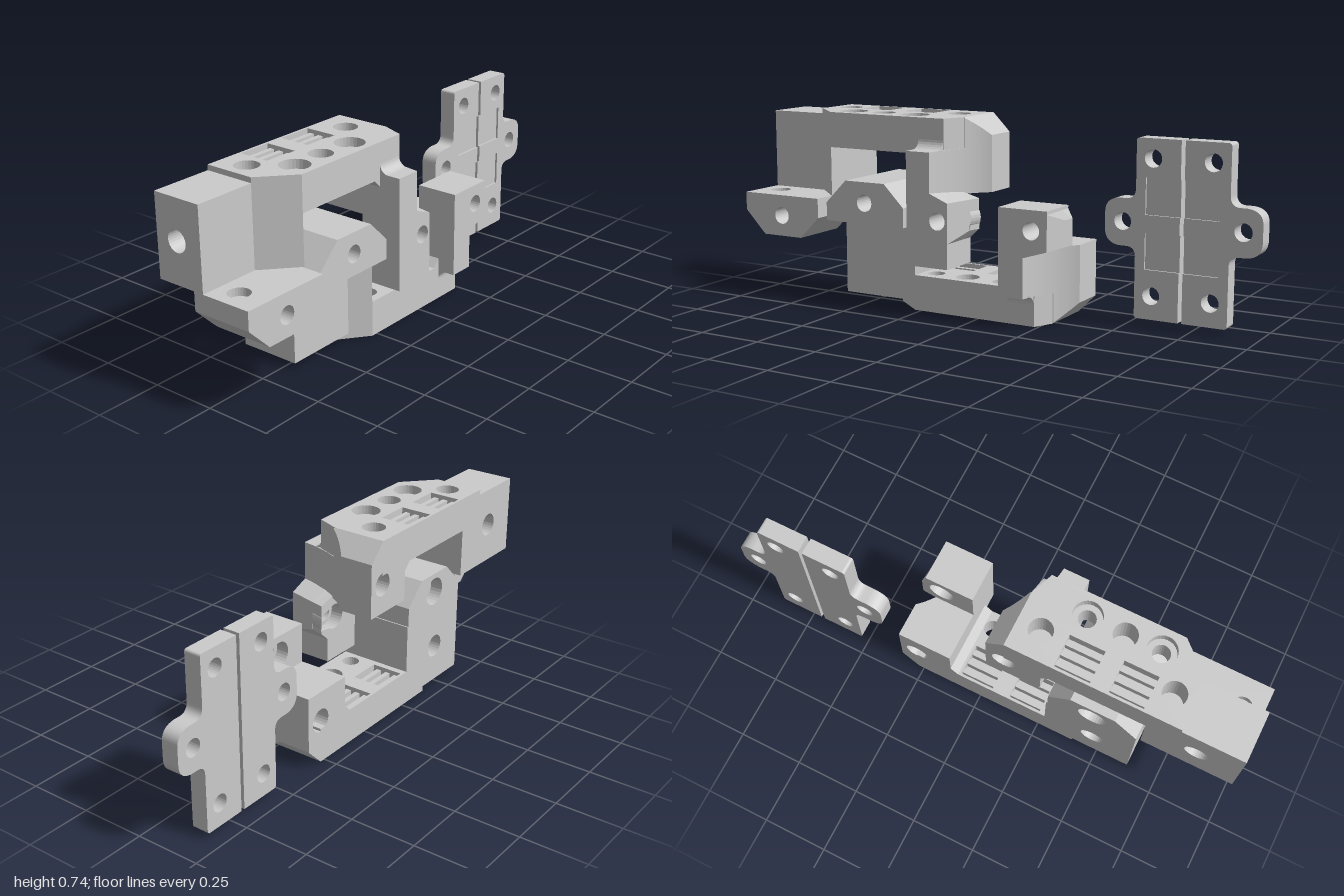
import * as THREE from 'three';

const mat = new THREE.MeshStandardMaterial({ color: 0xcccccc, flatShading: true, side: THREE.DoubleSide });

// Shape from points, with round holes [x, y, radius] and polygon slots
function shapeOf(pts, holes = [], slots = []) {
  const s = new THREE.Shape(pts.map(p => new THREE.Vector2(...p)));
  for (const [x, y, r] of holes) s.holes.push(new THREE.Path().absarc(x, y, r, 0, Math.PI * 2, true));
  for (const q of slots) s.holes.push(new THREE.Path(q.map(p => new THREE.Vector2(...p))));
  return s;
}
const extrude = (shape, depth) => new THREE.ExtrudeGeometry(shape, { depth, bevelEnabled: false, curveSegments: 14 });

// Prism along z from an (x, y) outline
const alongZ = (pts, z0, z1, holes, slots) => extrude(shapeOf(pts, holes, slots), z1 - z0).translate(0, 0, z0);

// Prism along y from an (x, z) plan
function alongY(pts, y0, y1, holes = [], slots = []) {
  const n = list => list.map(([x, z, ...r]) => [x, -z, ...r]);
  return extrude(shapeOf(n(pts), n(holes), slots.map(n)), y1 - y0).rotateX(-Math.PI / 2).translate(0, y0, 0);
}

// Prism along x from a (z, y) outline
const alongX = (pts, x0, x1, holes) =>
  extrude(shapeOf(pts, holes), x1 - x0).rotateY(-Math.PI / 2).translate(x1, 0, 0);

const rect = (a, b, c, d) => [[a, b], [c, b], [c, d], [a, d]];

function moveVertices(geo, rule) {
  const p = geo.attributes.position, v = new THREE.Vector3();
  for (let i = 0; i < p.count; i++) {
    rule(v.fromBufferAttribute(p, i));
    p.setXYZ(i, v.x, v.y, v.z);
  }
  return geo;
}

// Turn a part upside down, keeping its faces outward
function flipOver(geo) {
  const p = geo.attributes.position, a = new THREE.Vector3(), b = new THREE.Vector3();
  moveVertices(geo, v => { v.y = 0.735 - v.y; });
  for (let i = 0; i < p.count; i += 3) {
    a.fromBufferAttribute(p, i + 1);
    b.fromBufferAttribute(p, i + 2);
    p.setXYZ(i + 1, b.x, b.y, b.z);
    p.setXYZ(i + 2, a.x, a.y, a.z);
  }
}

// Bracket: bar with an end block and foot on one side, a curved leg on the other
function bracket(name, { flipped, shift, front, barFront, blockFront, footBack, hexPocket, legEnd, legBack, legEdge }) {
  const group = new THREE.Group();
  group.name = name;
  const back = -0.195;
  const add = (partName, geo) => {
    if (flipped) flipOver(geo);
    geo.translate(shift, 0, 0);
    geo.computeVertexNormals();
    const m = new THREE.Mesh(geo, mat);
    m.name = partName;
    group.add(m);
  };

  // Bar in two layers: counterbores outside, narrower screw holes inside
  const slotX = [[-0.62, -0.49], [-0.42, -0.285]];
  const slots = slotX.map(([a, b]) => rect(a, -0.185, b, -0.06));
  const barPlan = [[-0.765, back], [-0.765, 0], [-0.645, barFront], [-0.135, barFront], [-0.1, 0.02], [-0.1, back]];
  for (const [part, y0, y1, wide] of [['barInner', 0.6, 0.7, 0.033], ['barOuter', 0.7, 0.735, 0.055]])
    add(part, alongY(barPlan, y0, y1, [
      [-0.69, -0.09, 0.045], [-0.19, -0.09, 0.045], [-0.455, 0.025, 0.045],
      [-0.59, 0.03, wide], [-0.31, 0.03, wide]], slots));

  // Ribbed slot inserts, open on both faces of the bar
  for (const [a, b] of slotX) {
    add('slotFloor', alongY(rect(a, -0.185, b, -0.06), 0.65, 0.69));
    for (const z of [-0.165, -0.125, -0.085]) add('slotRib', alongY(rect(a, z - 0.01, b, z + 0.01), 0.615, 0.72));
  }

  // End block with blind holes in its side and back
  const blockCorner = -0.765 + 0.12 * blockFront / barFront;
  add('blockSide', alongX(rect(back, 0.41, blockFront, 0.715), -1, -0.93, [[-0.105, 0.565, 0.04]]));
  add('blockBack', alongZ([[-0.93, 0.41], [-0.645, 0.41], [-0.645, 0.6], [-0.765, 0.6], [-0.765, 0.715], [-0.93, 0.715]],
    back, -0.1, [[-0.84, 0.565, 0.045]]));
  add('blockCore', alongY([[-0.93, -0.1], [-0.93, blockFront], [blockCorner, blockFront], [-0.645, barFront], [-0.645, -0.1]], 0.41, 0.6));
  add('blockTop', alongY([[-0.93, -0.1], [-0.93, blockFront], [blockCorner, blockFront], [-0.765, 0], [-0.765, -0.1]], 0.6, 0.715));

  // Foot with chamfered corners, a cross hole with a rear pocket, and a hole in its flat face
  const footOutline = [[-1, 0.38], [-1, 0.34], [-0.91, 0.25], [-0.735, 0.25], [-0.65, 0.335], [-0.65, 0.38]];
  const hex = [0, 1, 2, 3, 4, 5].map(i => [-0.825 + 0.055 * Math.cos(i * Math.PI / 3), 0.325 + 0.055 * Math.sin(i * Math.PI / 3)]);
  add('foot', alongZ(footOutline, footBack + 0.05, front, [[-0.825, 0.33, 0.033]]));
  add('footRear', alongZ(footOutline, footBack, footBack + 0.05,
    hexPocket ? [] : [[-0.825, 0.325, 0.055]], hexPocket ? [hex] : []));
  add('footCap', alongY(rect(-1, footBack, -0.65, front), 0.38, 0.41, [[-0.92, 0.08, 0.04]]));

  // Curved flank shared by the column and the bar end
  const flank = new THREE.QuadraticBezierCurve(
    new THREE.Vector2(-0.03, -0.06), new THREE.Vector2(-0.125, 0.02), new THREE.Vector2(-0.145, front))
    .getPoints(24).map(p => [p.x, p.y]);

  // Column under the bar end, with a blind hole in its back
  add('column', alongY([[-0.245, -0.12], [-0.03, -0.12], ...flank, [-0.245, front]], 0.45, 0.62));
  add('columnBack', alongZ(rect(-0.245, 0.45, -0.03, 0.62), back, -0.12, [[-0.1, 0.565, 0.045]]));

  // Bar end, its top sloping down to the tip
  const tip = [[-0.1, back], [-0.03, back], ...flank.filter(p => p[0] > -0.1), [-0.1, 0.02]];
  add('barEnd', moveVertices(alongY(tip, 0.62, 0.735), v => {
    if (v.y > 0.7) v.y = 0.735 - (v.x + 0.1);
  }));

  // Fillet from the bar front down to the column ledge
  const r = 0.035, arc = [[barFront - 0.01, 0.615], [barFront - 0.01, 0.62 + r]];
  for (let i = 0; i <= 6; i++) {
    const t = i / 6 * Math.PI / 2;
    arc.push([barFront + r - r * Math.cos(t), 0.62 + r - r * Math.sin(t)]);
  }
  arc.push([barFront + r, 0.615]);
  add('ledgeFillet', alongX(arc, -0.245, -0.138));

  // Leg with a cross hole counterbored at the rear, flaring outward to the rear
  const c = Math.max(0.29, legEnd + 0.012);
  const legOutline = [[-0.245, legEnd], [legEdge, legEnd], [legEdge, c], [legEdge, c + 0.035],
    [legEdge, 0.44], [-0.145, 0.47], [-0.245, 0.47]];
  const flare = v => {
    if (v.x > legEdge - 0.005 && v.y > c + 0.01) v.x += (-0.032 - legEdge) * (front - v.z) / (front - legBack);
  };
  add('leg', moveVertices(alongZ(legOutline, legBack + 0.05, front, [[-0.113, 0.37, 0.033]]), flare));
  add('legRear', moveVertices(alongZ(legOutline, legBack, legBack + 0.05, [[-0.113, 0.37, 0.05]]), flare));

  // Small fillet in the inner corner
  add('cornerFillet', alongZ([[-0.275, 0.6], [-0.245, 0.57], [-0.24, 0.61]], back, barFront));
  return group;
}

// Plate with a rounded side tab, three holes and two shallow pockets on the inner edge
function plate(name, side) {
  const group = new THREE.Group();
  group.name = name;
  const outline = pockets => {
    const s = new THREE.Shape();
    s.moveTo(0.0075, 0.022);
    s.lineTo(0.165, 0.022);
    s.quadraticCurveTo(0.1775, 0.022, 0.1775, 0.035);
    s.lineTo(0.1775, 0.25);
    s.quadraticCurveTo(0.1775, 0.285, 0.215, 0.285);
    s.lineTo(0.24, 0.285);
    s.quadraticCurveTo(0.2975, 0.29, 0.2975, 0.345);
    s.lineTo(0.2975, 0.405);
    s.quadraticCurveTo(0.2975, 0.455, 0.24, 0.46);
    s.lineTo(0.215, 0.46);
    s.quadraticCurveTo(0.1775, 0.46, 0.1775, 0.5);
    s.lineTo(0.1775, 0.67);
    s.quadraticCurveTo(0.1775, 0.682, 0.165, 0.682);
    s.lineTo(0.0075, 0.682);
    if (pockets) for (const [a, b] of [[0.54, 0.405], [0.34, 0.205]]) {
      s.lineTo(0.0075, a);
      s.lineTo(0.14, a);
      s.lineTo(0.14, b);
      s.lineTo(0.0075, b);
    }
    s.closePath();
    for (const [x, y] of [[0.1125, 0.61], [0.2275, 0.375], [0.1125, 0.11]])
      s.holes.push(new THREE.Path().absarc(x, y, 0.033, 0, Math.PI * 2, true));
    return s;
  };
  for (const [part, pockets, z0, z1] of [['plateBody', false, -0.195, -0.138], ['plateFace', true, -0.138, -0.13]]) {
    const geo = extrude(outline(pockets), z1 - z0).translate(0, 0, z0);
    if (side < 0) geo.rotateY(Math.PI).translate(0, 0, z0 + z1);
    geo.translate(0.7025, 0, 0);
    const m = new THREE.Mesh(geo, mat);
    m.name = part;
    group.add(m);
  }
  return group;
}

export function createModel() {
  const model = new THREE.Group();
  model.name = 'bracketSet';
  model.add(
    bracket('upperBracket', { flipped: false, shift: 0, front: 0.195, barFront: 0.11, blockFront: 0,
      footBack: -0.04, hexPocket: true, legEnd: 0.195, legBack: 0.03, legEdge: -0.07 }),
    bracket('lowerBracket', { flipped: true, shift: 0.37, front: 0.165, barFront: 0.095, blockFront: 0.04,
      footBack: -0.195, hexPocket: false, legEnd: 0.295, legBack: 0, legEdge: -0.05 }),
    plate('rightPlate', -1),
    plate('leftPlate', 1));
  return model;
}
